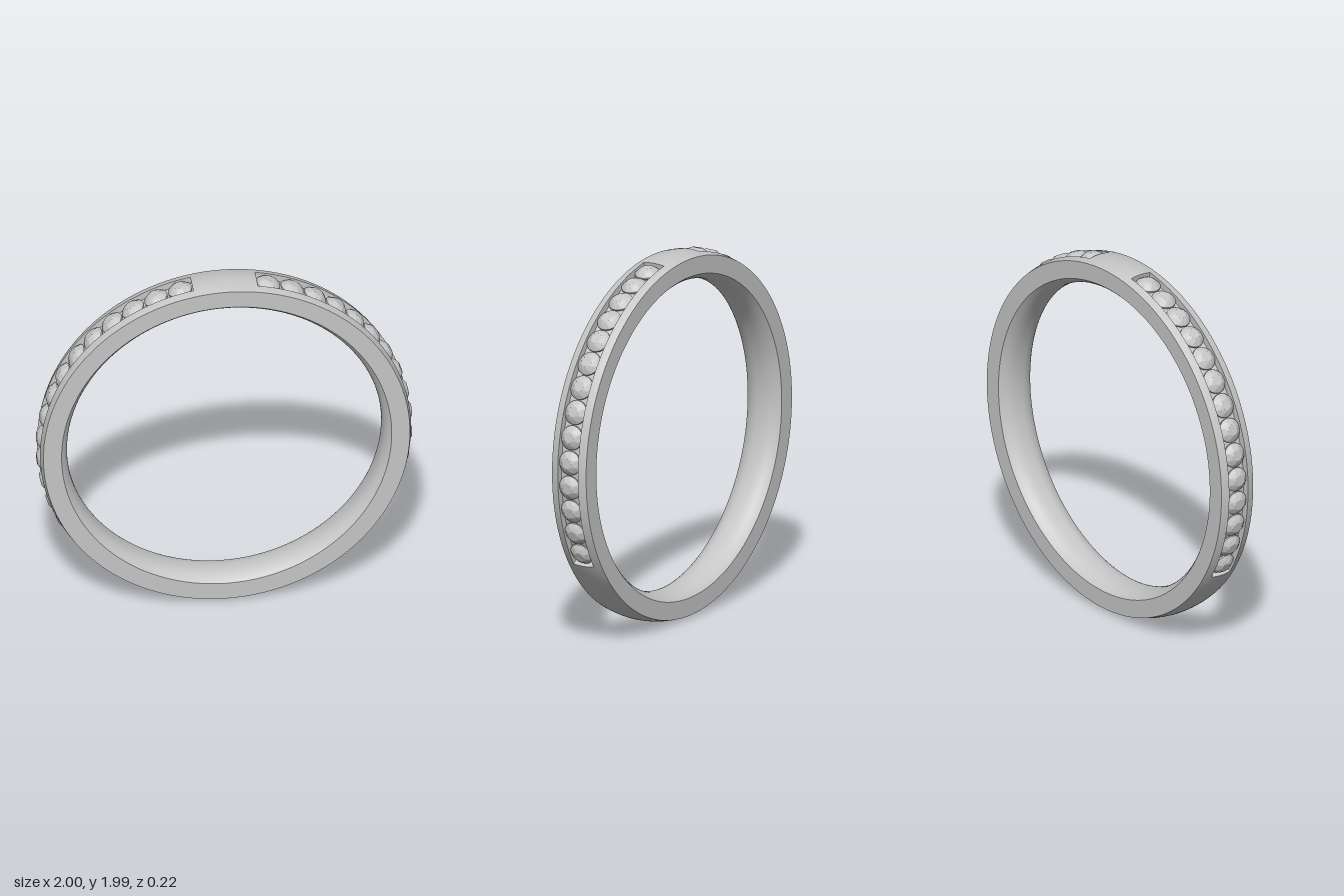
import * as THREE from 'three';
import { ConvexGeometry } from 'three/addons/geometries/ConvexGeometry.js';

const DEG = Math.PI / 180;
const HALF = 0.108;          // half width of the band
const SLOT = 0.064;          // half width of the stone channel
const FLOOR = 0.95;          // radius of the channel floor
const COUNT = 14, STEP = 8;  // stones per side and their spacing in degrees
const START = -32, END = START + COUNT * STEP;

// Domed outer surface and rounded inner surface of the band
const outerR = z => 0.993 - 0.018 * (z / HALF) ** 2;
const innerR = z => 0.838 + 0.04 * Math.abs(z / HALF) ** 2.6;

function sample(radius, z0, z1, n) {
  return Array.from({ length: n + 1 }, (_, i) => {
    const z = z0 + (z1 - z0) * i / n;
    return [radius(z), z];
  });
}

export function createModel() {
  const ring = new THREE.Group();
  ring.name = 'ring';
  const metal = new THREE.MeshStandardMaterial({ color: 0xc6c6c6 });
  metal.name = 'silver grey';

  const add = (parent, name, geometry) => {
    const mesh = new THREE.Mesh(geometry, metal);
    mesh.name = name;
    parent.add(mesh);
    return mesh;
  };

  // Sweeps a (radius, z) profile around the z axis between two angles
  const sweep = (parent, name, profile, from = 0, to = 360) => {
    const points = profile.map(([r, z]) => new THREE.Vector2(r, z));
    const segments = Math.ceil((to - from) / 2);
    const g = new THREE.LatheGeometry(points, segments, (from + 90) * DEG, (to - from) * DEG);
    return add(parent, name, g.rotateX(Math.PI / 2));
  };

  // Band: inside, flat faces and the plain stretches at top and bottom
  const band = new THREE.Group();
  band.name = 'band';
  ring.add(band);
  sweep(band, 'innerSurface', sample(innerR, HALF, -HALF, 16));
  sweep(band, 'frontFace', [[outerR(HALF), HALF], [innerR(HALF), HALF]]);
  sweep(band, 'backFace', [[innerR(HALF), -HALF], [outerR(HALF), -HALF]]);
  const dome = sample(outerR, -HALF, HALF, 14);
  sweep(band, 'topDome', dome, END, 180 - END);
  sweep(band, 'bottomDome', dome, 180 - START, 360 + START);

  // Channels: rails, walls, floor and end walls
  const endShape = new THREE.Shape([
    [FLOOR, SLOT], [FLOOR, -SLOT], ...sample(outerR, -SLOT, SLOT, 8),
  ].map(([r, z]) => new THREE.Vector2(r, z)));
  const lip = outerR(SLOT);
  for (const [side, from, to] of [['left', START, END], ['right', 180 - END, 180 - START]]) {
    const channel = new THREE.Group();
    channel.name = side + 'Channel';
    ring.add(channel);
    sweep(channel, 'frontRail', sample(outerR, SLOT, HALF, 4), from, to);
    sweep(channel, 'backRail', sample(outerR, -HALF, -SLOT, 4), from, to);
    sweep(channel, 'frontWall', [[FLOOR, SLOT], [lip, SLOT]], from, to);
    sweep(channel, 'backWall', [[lip, -SLOT], [FLOOR, -SLOT]], from, to);
    sweep(channel, 'floor', [[FLOOR, -SLOT], [FLOOR, SLOT]], from, to);
    for (const [angle, tilt] of [[from, -1], [to, 1]]) {
      const wall = new THREE.ShapeGeometry(endShape);
      add(channel, 'endWall', wall.rotateX(tilt * Math.PI / 2).rotateZ(angle * DEG));
    }
  }

  // Round cut stone, its table facing +x
  const corners = [];
  const level = (n, radius, height, turn) => {
    for (let i = 0; i < n; i++) {
      const a = (i + turn) / n * Math.PI * 2;
      corners.push(new THREE.Vector3(height, radius * Math.cos(a), radius * Math.sin(a)));
    }
  };
  level(8, 0.03, 0.999, 0);
  level(8, 0.049, 0.988, 0.5);
  level(32, 0.0655, 0.971, 0);
  level(32, 0.0655, 0.963, 0);
  level(1, 0, 0.915, 0);
  const stoneGeometry = new ConvexGeometry(corners);

  // Rows of stones, mirrored left and right
  const stones = new THREE.Group();
  stones.name = 'stones';
  ring.add(stones);
  for (let i = 0; i < COUNT; i++) {
    const angle = START + STEP * (i + 0.5);
    add(stones, 'leftStone', stoneGeometry).rotation.z = angle * DEG;
    add(stones, 'rightStone', stoneGeometry).rotation.z = (180 - angle) * DEG;
  }

  ring.position.y = 0.996;
  const model = new THREE.Group();
  model.name = 'bandRing';
  model.add(ring);
  return model;
}
